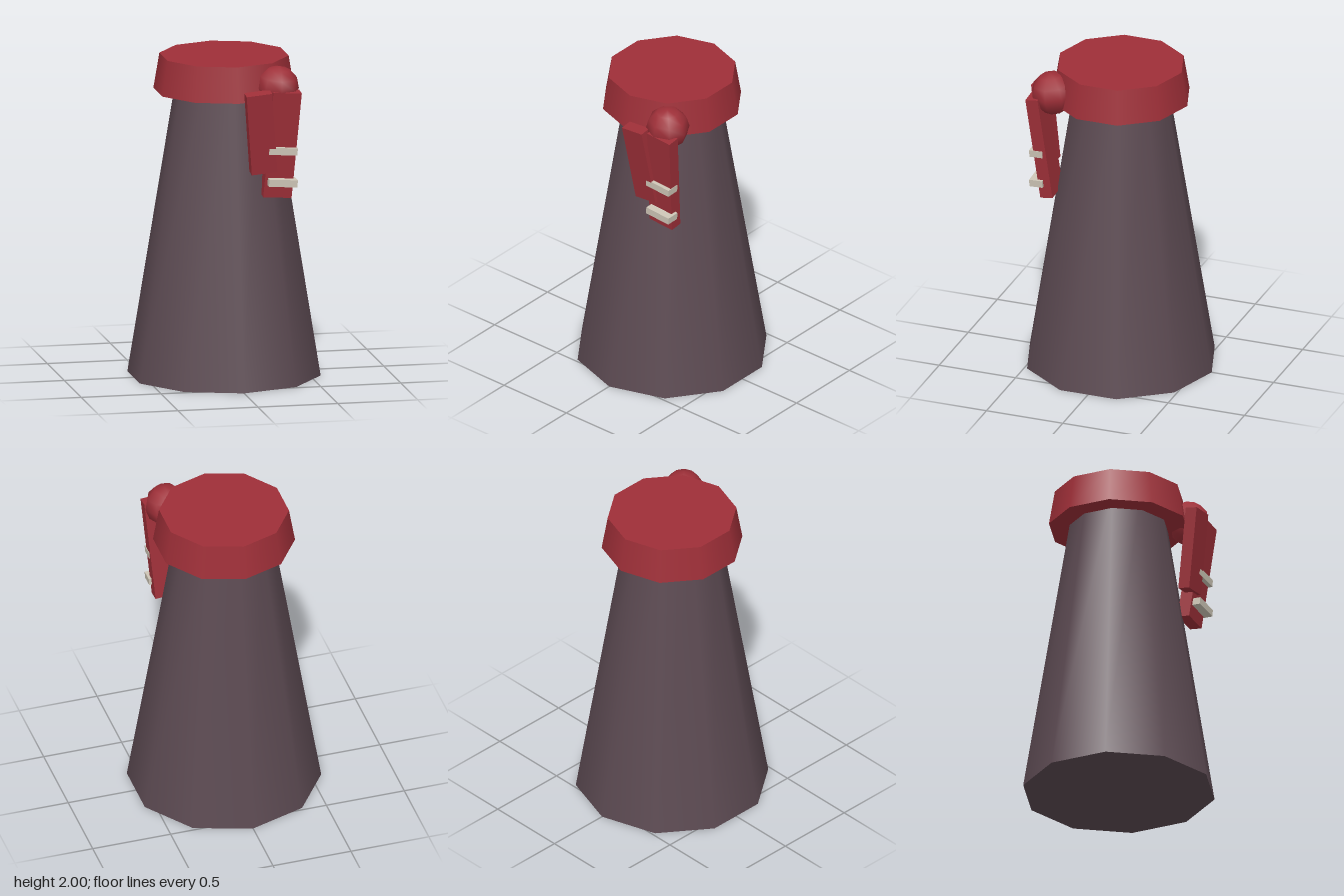
import * as THREE from 'three';

function material(name, color) {
  const m = new THREE.MeshStandardMaterial({ color });
  m.name = name;
  return m;
}

export function createModel() {
  const group = new THREE.Group();
  const plum = material('plum', 0x5c4a52);
  const red = material('red', 0x9e2f38);
  const cream = material('cream', 0xcdc5b6);

  function add(name, geometry, mat, position, rotation = [0, 0, 0]) {
    const mesh = new THREE.Mesh(geometry, mat);
    mesh.name = name;
    mesh.position.set(...position);
    mesh.rotation.set(...rotation);
    group.add(mesh);
    return mesh;
  }

  // Ten-sided tapering body, its top tucked inside the band
  add('body', new THREE.CylinderGeometry(0.287, 0.595, 1.9, 10), plum, [0, 0.95, 0]);

  // Wide band closing the top
  add('topBand', new THREE.CylinderGeometry(0.398, 0.435, 0.22, 10), red, [0, 1.89, 0]);

  // Knot on the front of the band
  add('knot', new THREE.SphereGeometry(0.135, 8, 6), red, [0.26, 1.855, 0.348], [0.1, 0, -0.07]);

  // Two hanging tails
  add('longTail', new THREE.BoxGeometry(0.178, 0.675, 0.08), red, [0.273, 1.513, 0.4], [0.12, 0, -0.07]);
  add('shortTail', new THREE.BoxGeometry(0.16, 0.515, 0.075), red, [0.137, 1.595, 0.44], [0.145, 0, 0.093]);

  // Pale stripes across the long tail
  for (const y of [1.475, 1.275]) {
    add('tailStripe', new THREE.BoxGeometry(0.178, 0.045, 0.085), cream, [0.274, y, 0.42], [0.03, 0, -0.07]);
  }

  return group;
}
